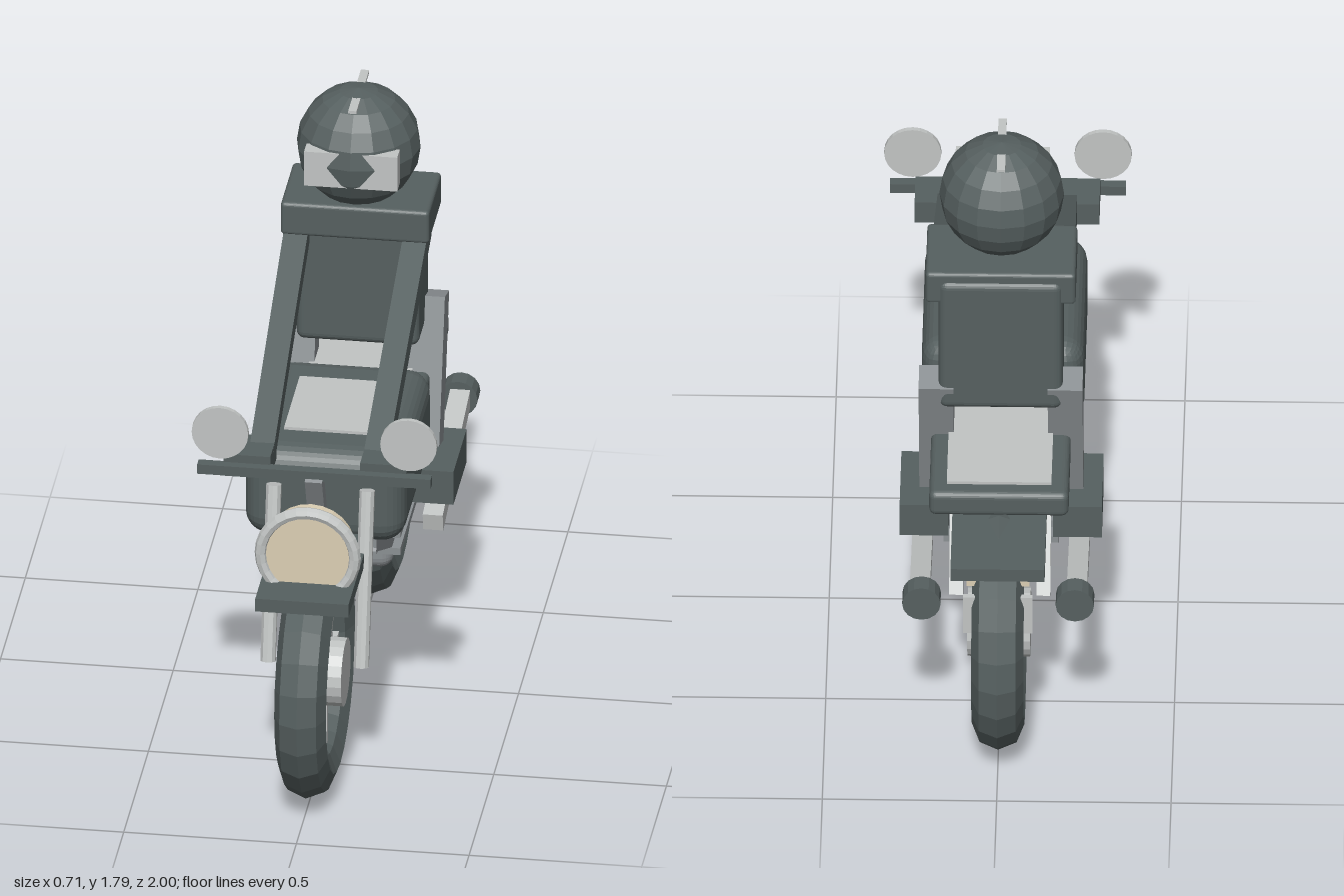
import * as THREE from 'three';
import { RoundedBoxGeometry } from 'three/addons/geometries/RoundedBoxGeometry.js';

function material(name, color) {
  const m = new THREE.MeshStandardMaterial({ color, flatShading: true });
  m.name = name;
  return m;
}

export function createModel() {
  const model = new THREE.Group();
  model.name = 'motorcycleWithRider';

  const dark = material('charcoal', 0x566060);
  const silver = material('silver', 0xc2c5c4);
  const grey = material('engineGrey', 0x8b9093);
  const cream = material('lampCream', 0xdccfb4);

  function add(name, geometry, mat, x = 0, y = 0, z = 0, parent = model) {
    const mesh = new THREE.Mesh(geometry, mat);
    mesh.name = name;
    mesh.position.set(x, y, z);
    parent.add(mesh);
    return mesh;
  }

  // Box given by its limits on each axis, optionally with rounded edges
  function box(name, mat, [x0, x1], [y0, y1], [z0, z1], radius = 0) {
    const s = [x1 - x0, y1 - y0, z1 - z0];
    const g = radius ? new RoundedBoxGeometry(...s, 3, radius) : new THREE.BoxGeometry(...s);
    return add(name, g, mat, (x0 + x1) / 2, (y0 + y1) / 2, (z0 + z1) / 2);
  }

  // Straight member between two points, square or round in section
  function bar(name, mat, from, to, width, depth = width, round = false) {
    const a = new THREE.Vector3(...from), b = new THREE.Vector3(...to);
    const dir = b.clone().sub(a), len = dir.length();
    const g = round
      ? new THREE.CylinderGeometry(width / 2, width / 2, len, 10)
      : new THREE.BoxGeometry(width, len, depth);
    const mesh = add(name, g, mat);
    mesh.position.copy(a).add(b).multiplyScalar(0.5);
    mesh.quaternion.setFromUnitVectors(new THREE.Vector3(0, 1, 0), dir.normalize());
    return mesh;
  }

  // Wheel: tire, brake disc, hub and eight spokes
  function wheel(name, z) {
    const g = new THREE.Group();
    g.name = name;
    g.position.set(0, 0.37, z);
    model.add(g);
    add('tire', new THREE.TorusGeometry(0.295, 0.075, 8, 24).rotateY(Math.PI / 2), dark, 0, 0, 0, g);
    add('brakeDisc', new THREE.CylinderGeometry(0.155, 0.155, 0.06, 20).rotateZ(Math.PI / 2), grey, 0, 0, 0, g);
    add('hub', new THREE.CylinderGeometry(0.1, 0.1, 0.18, 20).rotateZ(Math.PI / 2), silver, 0, 0, 0, g);
    for (let i = 0; i < 8; i++) {
      const a = (i * Math.PI) / 4;
      const spoke = add('spoke', new THREE.BoxGeometry(0.075, 0.14, 0.016), silver,
        0, Math.cos(a) * 0.16, Math.sin(a) * 0.16, g);
      spoke.rotation.x = a;
    }
  }
  wheel('frontWheel', 0.63);
  wheel('rearWheel', -0.63);

  // Fenders
  box('frontFender', dark, [-0.135, 0.135], [0.686, 0.727], [0.37, 0.89]);
  box('rearFender', dark, [-0.135, 0.135], [0.686, 0.727], [-0.88, -0.4]);

  // Tank, seat and their pale inlays
  box('fuelTank', dark, [-0.233, 0.233], [0.69, 0.98], [-0.14, 0.465], 0.07);
  box('tankPanel', silver, [-0.132, 0.132], [0.98, 0.989], [0.01, 0.325]);
  box('seat', dark, [-0.2, 0.2], [0.78, 0.86], [-0.695, -0.17], 0.02);
  box('seatPad', silver, [-0.15, 0.15], [0.86, 0.869], [-0.645, -0.2]);

  // Engine with cooling fins
  box('engine', grey, [-0.14, 0.14], [0.39, 0.685], [-0.36, 0.045], 0.04);
  for (let i = 0; i < 4; i++) {
    const y = 0.45 + i * 0.055;
    box('coolingFin', grey, [-0.165, 0.165], [y, y + 0.022], [-0.35, 0.05]);
  }

  // Headlight facing forward, with its rim
  add('headlight', new THREE.CylinderGeometry(0.127, 0.127, 0.08, 24).rotateX(Math.PI / 2), cream, 0, 0.815, 0.735);
  add('headlightRim', new THREE.TorusGeometry(0.136, 0.018, 8, 28), silver, 0, 0.815, 0.769);

  // Steering stem and handlebar
  bar('steeringStem', grey, [0, 1.0, 0.64], [0, 0.81, 0.555], 0.05, 0.04);
  box('handlebar', dark, [-0.338, 0.338], [0.99, 1.02], [0.615, 0.647]);

  // Tail light and rear plate
  box('tailLight', cream, [-0.09, 0.09], [0.62, 0.686], [-0.81, -0.762]);
  box('rearPlate', silver, [-0.1, 0.1], [0.48, 0.605], [-0.846, -0.83]);

  // Paired parts, mirrored left and right
  for (const s of [1, -1]) {
    const span = (a, b) => (s > 0 ? [a, b] : [-b, -a]);

    bar('frontFork', silver, [s * 0.135, 0.39, 0.63], [s * 0.135, 0.9, 0.51], 0.045, 0.045, true);
    add('mirror', new THREE.CylinderGeometry(0.082, 0.082, 0.015, 24).rotateX(Math.PI / 2), silver,
      s * 0.273, 1.122, 0.632);

    // Frame rails and rear struts
    box('frameRail', grey, span(0.09, 0.14), [0.61, 0.675], [-0.4, 0.36]);
    bar('downTube', grey, [s * 0.115, 0.645, 0.355], [s * 0.115, 0.475, 0], 0.05, 0.045);
    bar('rearStrut', silver, [s * 0.125, 0.67, -0.4], [s * 0.125, 0.41, -0.555], 0.04);

    // Exhaust pipe and dark tip
    bar('exhaustPipe', silver, [s * 0.225, 0.435, -0.19], [s * 0.225, 0.555, -0.765], 0.058, 0.055);
    add('exhaustTip', new THREE.CylinderGeometry(0.055, 0.055, 0.06, 16).rotateX(Math.PI / 2), dark,
      s * 0.22, 0.547, -0.77);

    // Rider's limbs
    bar('leg', grey, [s * 0.185, 1.065, -0.405], [s * 0.185, 0.64, -0.29], 0.1, 0.09);
    box('foot', dark, span(0.15, 0.29), [0.518, 0.624], [-0.417, -0.15]);
    bar('arm', dark, [s * 0.173, 1.35, -0.27], [s * 0.165, 1.005, 0.55], 0.07, 0.062);
    box('hand', dark, span(0.13, 0.265), [0.975, 1.045], [0.49, 0.62]);
  }

  // Rider's body
  box('torso', dark, [-0.178, 0.178], [0.978, 1.42], [-0.443, -0.225], 0.025);
  box('shoulders', dark, [-0.215, 0.215], [1.342, 1.446], [-0.433, -0.176], 0.012);

  // Helmet pushes through the visor and the crest strip
  add('helmet', new THREE.SphereGeometry(0.179, 16, 10), dark, 0, 1.612, -0.262);
  box('visor', silver, [-0.135, 0.135], [1.55, 1.66], [-0.148, -0.097]);
  box('helmetStripe', silver, [-0.012, 0.012], [1.774, 1.783], [-0.388, -0.132]);

  return model;
}
